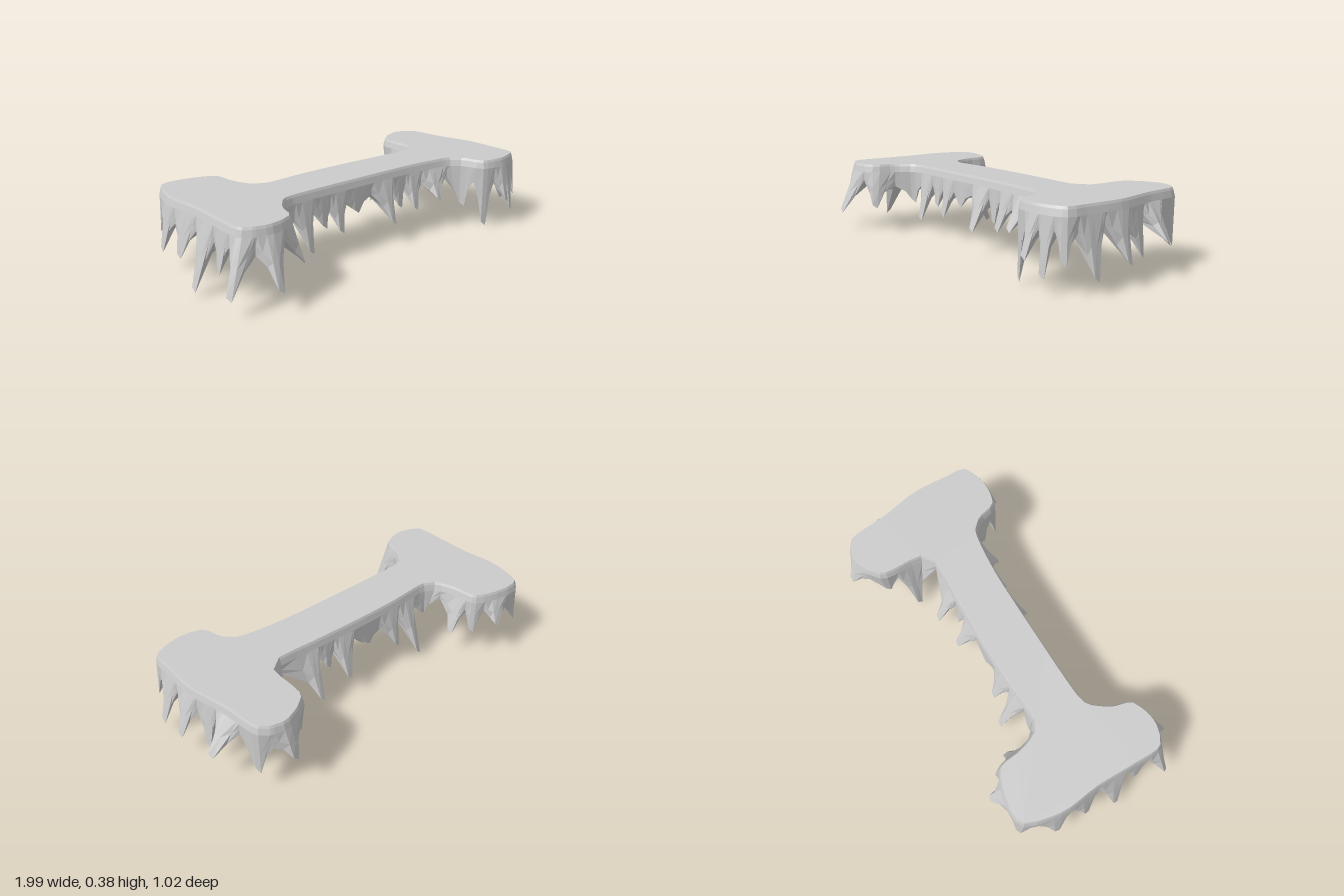
import * as THREE from 'three';

// Upper rim of the slab as [x, z], running clockwise seen from above
const RIM = [
  [-0.88, -0.39], [-0.75, -0.405], [-0.6, -0.35], [-0.575, -0.22], [-0.53, -0.12], [-0.46, -0.09],
  [-0.25, -0.105], [0, -0.11], [0.25, -0.105], [0.5, -0.1], [0.56, -0.16], [0.57, -0.37], [0.72, -0.46],
  [0.84, -0.41], [0.87, -0.22], [0.92, 0], [0.92, 0.2], [0.91, 0.31], [0.77, 0.36], [0.64, 0.335],
  [0.6, 0.23], [0.53, 0.17], [0.3, 0.145], [0, 0.145], [-0.45, 0.155], [-0.55, 0.18], [-0.615, 0.27],
  [-0.65, 0.37], [-0.78, 0.41], [-0.9, 0.36], [-0.91, 0.2], [-0.91, 0], [-0.93, -0.2],
];

// Icicle tips as [x, z, y]
const TIPS = [
  [-0.88, -0.41, 0.13], [-0.68, -0.455, 0.2], [-0.58, -0.36, 0.16], [-0.515, -0.27, 0.13],
  [-0.46, -0.11, 0.2], [-0.35, -0.205, 0.04], [-0.22, -0.17, 0.13], [-0.05, -0.12, 0.2],
  [0.13, -0.19, 0.11], [0.22, -0.13, 0.19], [0.32, -0.205, 0.08], [0.49, -0.23, 0],
  [0.58, -0.36, 0.15], [0.72, -0.51, 0.175], [0.85, -0.4, 0.1], [0.985, -0.23, 0.15], [0.93, -0.12, 0.1],
  [0.995, 0.02, 0.1], [0.985, 0.2, 0.06], [0.92, 0.33, 0.13], [0.84, 0.38, 0.07],
  [0.76, 0.415, 0.14], [0.65, 0.35, 0.012], [0.59, 0.24, 0.11], [0.42, 0.235, 0.17],
  [0.28, 0.2, 0.14], [0.2, 0.16, 0.16], [0.1, 0.225, 0.11], [-0.1, 0.16, 0.2],
  [-0.22, 0.19, 0.13], [-0.31, 0.17, 0.17], [-0.42, 0.21, 0.08], [-0.54, 0.18, 0.16], [-0.6, 0.395, 0.14],
  [-0.8, 0.505, 0.1], [-0.99, 0.395, 0.08], [-0.94, 0.23, 0.14], [-0.995, 0.1, 0.02],
  [-0.97, -0.07, 0.12], [-0.97, -0.24, 0.1],
];

const TOP = 0.378;
const CEILING = 0.31;

let seed = 7;
function rand() {
  seed = (seed * 16807) % 2147483647;
  return seed / 2147483647;
}

const rim = new THREE.CatmullRomCurve3(RIM.map(([x, z]) => new THREE.Vector3(x, 0, z)), true, 'catmullrom', 0.4);
const wrap = (u) => ((u % 1) + 1) % 1;

// Rim position pushed outward by d, at height y
function rimPoint(u, d, y) {
  const p = rim.getPointAt(wrap(u));
  const t = rim.getTangentAt(wrap(u));
  return new THREE.Vector3(p.x + t.z * d, y, p.z - t.x * d);
}

// Attach every tip to the nearest place on the rim
function placeTips() {
  const samples = rim.getSpacedPoints(800);
  return TIPS.map(([x, z, y]) => {
    let best = 0;
    let bestDistance = Infinity;
    for (let i = 0; i < 800; i++) {
      const d = Math.hypot(samples[i].x - x, samples[i].z - z);
      if (d < bestDistance) { bestDistance = d; best = i; }
    }
    return { u: best / 800, tip: new THREE.Vector3(x, y, z) };
  }).sort((a, b) => a.u - b.u);
}

// One vertical profile: top edge, shoulder, outer face, lowest point, inner face, ceiling.
// reach is 0 in a valley, 1 on an icicle ridge.
function column(u, tip, reach) {
  const valley = 0.25 + rand() * 0.04;
  const shoulder = rimPoint(u, 0.008, 0.335);
  const low = rimPoint(u, 0.006, valley).lerp(tip, reach);
  const outer = shoulder.clone().lerp(low, 0.5);
  const inner = rimPoint(u, -0.055, 0.27).lerp(tip, reach * 0.35);
  return [rimPoint(u, -0.006, TOP), rimPoint(u, 0, 0.366), shoulder, outer, low, inner,
    rimPoint(u, -0.1, CEILING)];
}

// Valley, flank, two edges of the blunt ridge, flank for each icicle
function makeColumns() {
  const tips = placeTips();
  const columns = [];
  tips.forEach(({ u, tip }, i) => {
    const before = wrap(u - tips[(i + tips.length - 1) % tips.length].u);
    const after = wrap(tips[(i + 1) % tips.length].u - u);
    const left = Math.min(before * 0.43, 0.014);
    const right = Math.min(after * 0.43, 0.014);
    const along = rim.getTangentAt(u).multiplyScalar(0.013);
    const side = tip.clone().add(along).setY(tip.y + 0.02);
    columns.push(column(u - before / 2, tip, 0));
    columns.push(column(u - left, tip, 0.4));
    columns.push(column(u - left * 0.25, tip.clone().sub(along), 1));
    columns.push(column(u + right * 0.25, side, 1));
    columns.push(column(u + right, tip, 0.35 + rand() * 0.1));
  });
  return columns;
}

function flatMesh(name, points) {
  const geometry = new THREE.BufferGeometry().setFromPoints(points);
  geometry.computeVertexNormals();
  const material = new THREE.MeshStandardMaterial({ color: 0xcccccc, flatShading: true, side: THREE.DoubleSide });
  const mesh = new THREE.Mesh(geometry, material);
  mesh.name = name;
  return mesh;
}

// Strips between neighbouring profiles, from ring first to ring last
function skirt(name, columns, first, last) {
  const points = [];
  columns.forEach((a, i) => {
    const b = columns[(i + 1) % columns.length];
    for (let k = first; k < last; k++) {
      points.push(a[k], b[k], b[k + 1], a[k], b[k + 1], a[k + 1]);
    }
  });
  return flatMesh(name, points);
}

// Flat cover over one ring, facing up or down
function cap(name, ring, up) {
  const contour = ring.map((p) => new THREE.Vector2(p.x, p.z));
  const points = [];
  for (const [a, b, c] of THREE.ShapeUtils.triangulateShape(contour, [])) {
    const turn = contour[b].clone().sub(contour[a]).cross(contour[c].clone().sub(contour[a]));
    const facesUp = turn < 0;
    points.push(ring[a], ...(facesUp === up ? [ring[b], ring[c]] : [ring[c], ring[b]]));
  }
  return flatMesh(name, points);
}

export function createModel() {
  const group = new THREE.Group();
  group.name = 'icicleSlab';
  const columns = makeColumns();
  group.add(cap('snowTop', columns.map((c) => c[0]), true));
  group.add(skirt('rimEdge', columns, 0, 2));
  group.add(skirt('icicleFronts', columns, 2, 4));
  group.add(skirt('icicleBacks', columns, 4, 6));
  group.add(cap('underside', columns.map((c) => c[6]), false));
  return group;
}
